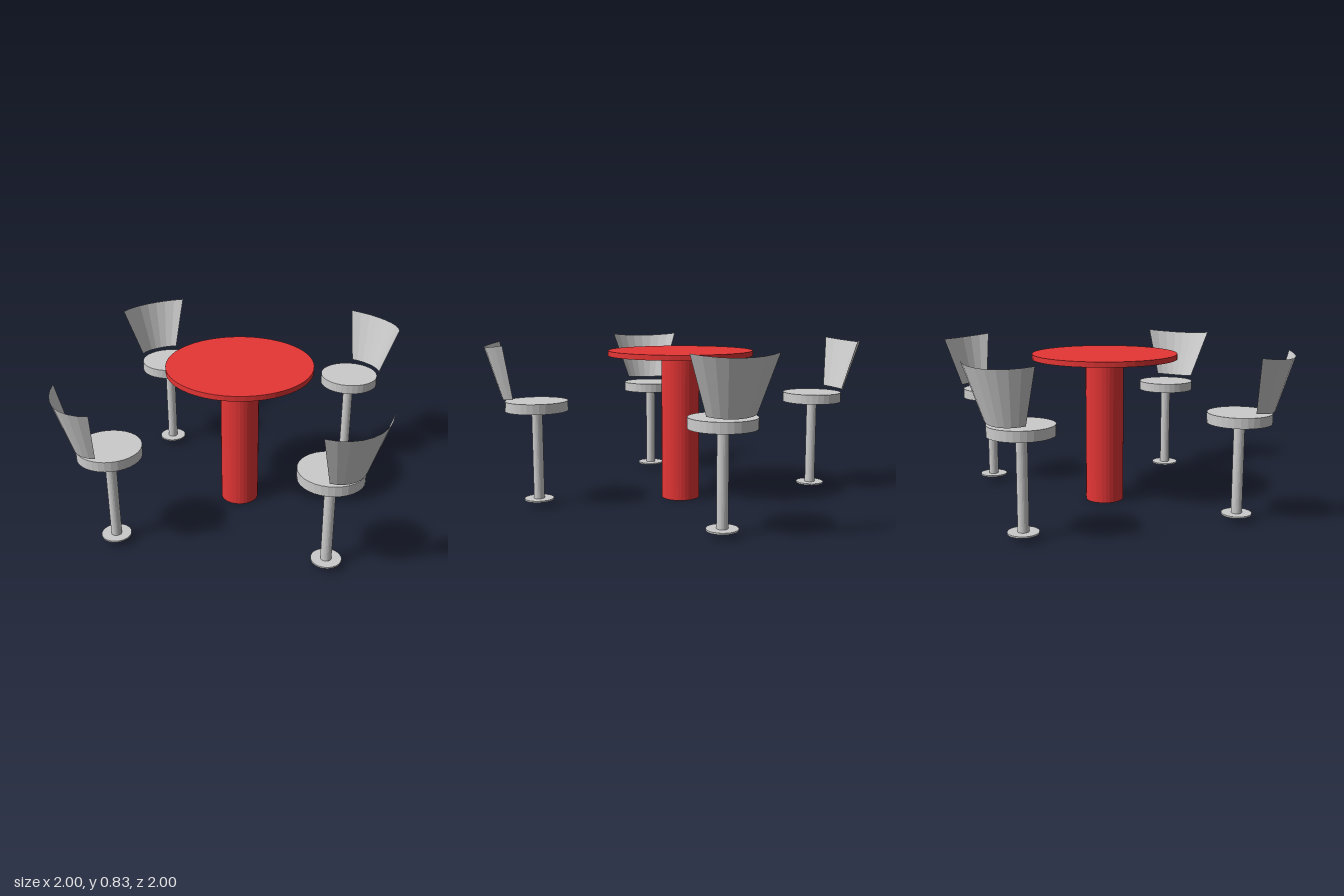
import * as THREE from 'three';

const grey = new THREE.MeshStandardMaterial({ color: 0xcccccc, flatShading: true });
const greySheet = new THREE.MeshStandardMaterial({ color: 0xcccccc, flatShading: true, side: THREE.DoubleSide });
const red = new THREE.MeshStandardMaterial({ color: 0xe63535, flatShading: true });

// Upright disc or post between two heights
function disc(name, radius, y0, y1, material, sides = 32) {
  const mesh = new THREE.Mesh(new THREE.CylinderGeometry(radius, radius, y1 - y0, sides), material);
  mesh.position.y = (y0 + y1) / 2;
  mesh.name = name;
  return mesh;
}

// Flared backrest: a thin quarter-circle sheet, wider and leaning outwards at the top
function backrest() {
  const geometry = new THREE.PlaneGeometry(1, 1, 8, 1);
  const p = geometry.attributes.position;
  for (let i = 0; i < p.count; i++) {
    const angle = p.getX(i) * Math.PI / 2;
    const t = p.getY(i) + 0.5;
    const radius = THREE.MathUtils.lerp(0.16, 0.28, t);
    const sag = radius * (1 - Math.cos(angle));
    p.setXYZ(
      i,
      radius * Math.sin(angle),
      THREE.MathUtils.lerp(0.557, 0.819, t) + 0.19 * sag,
      THREE.MathUtils.lerp(0.168, 0.249, t) - sag
    );
  }
  geometry.computeVertexNormals();
  const mesh = new THREE.Mesh(geometry, greySheet);
  mesh.name = 'backrest';
  return mesh;
}

// Stool with its back towards +z
function stool() {
  const group = new THREE.Group();
  group.add(
    disc('seat', 0.158, 0.493, 0.544, grey),
    disc('post', 0.027, 0.035, 0.5, grey, 24),
    disc('foot', 0.075, 0.031, 0.039, grey),
    backrest()
  );
  return group;
}

export function createModel() {
  const model = new THREE.Group();
  model.name = 'tableWithStools';

  // Round table on a thick column
  const table = new THREE.Group();
  table.name = 'table';
  table.add(
    disc('tableTop', 0.379, 0.76, 0.787, red, 48),
    disc('column', 0.1, 0, 0.77, red)
  );
  model.add(table);

  // Four stools around the table
  ['frontStool', 'leftStool', 'backStool', 'rightStool'].forEach((name, i) => {
    const angle = i * Math.PI / 2;
    const s = stool();
    s.name = name;
    s.rotation.y = angle;
    s.position.set(0.751 * Math.sin(angle), 0, 0.751 * Math.cos(angle));
    model.add(s);
  });
  return model;
}
